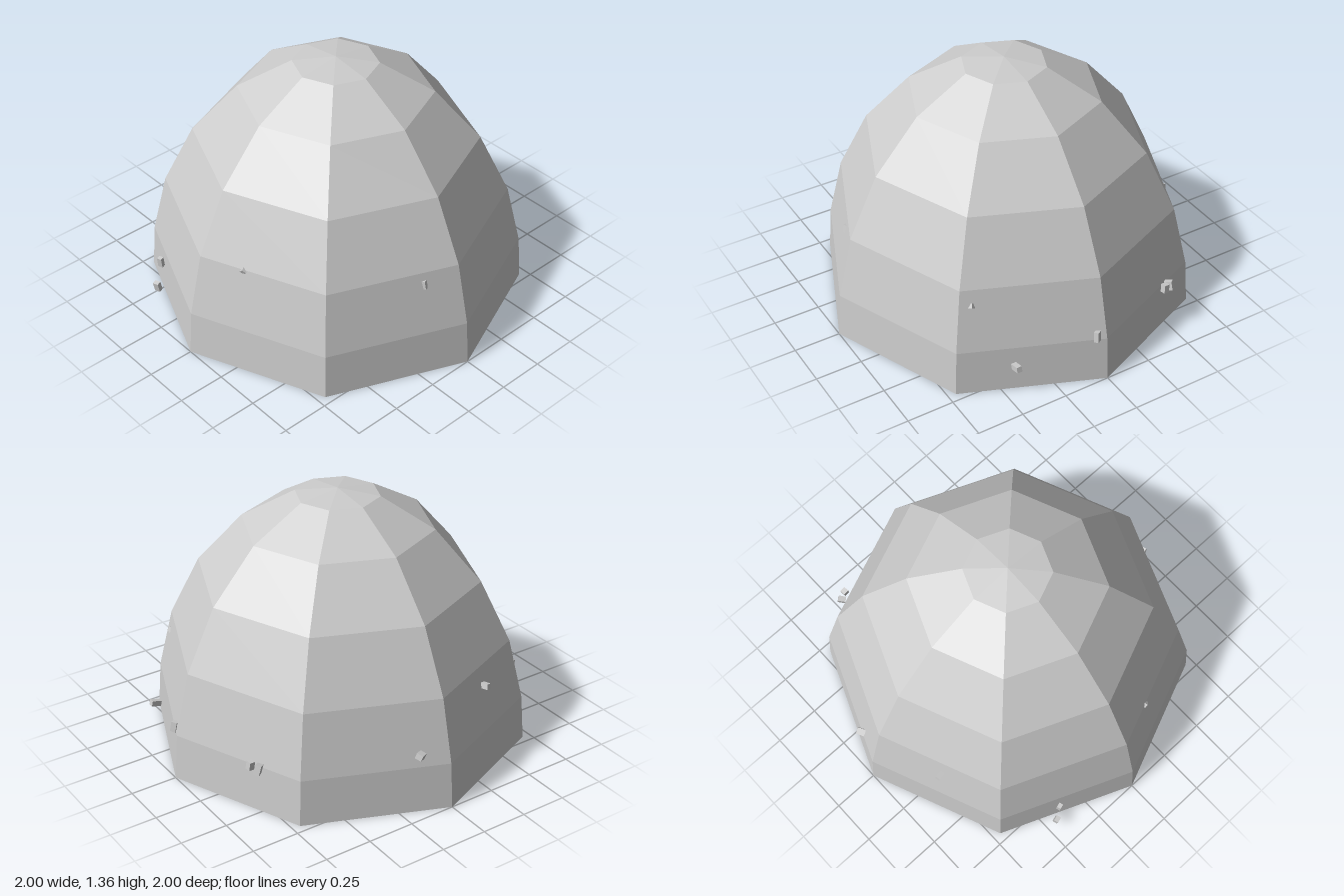
import * as THREE from 'three';

export function createModel() {
  const model = new THREE.Group();
  const grey = new THREE.MeshStandardMaterial({ color: 0xcccccc, flatShading: true });
  grey.name = 'stone grey';

  // eight-sided faceted dome with a closed base
  const profile = [
    [0, 0], [1, 0], [0.98, 0.245], [0.9, 0.575], [0.74, 0.9],
    [0.5, 1.17], [0.22, 1.33], [0, 1.36],
  ].map(([r, y]) => new THREE.Vector2(r, y));
  const dome = new THREE.Mesh(new THREE.LatheGeometry(profile, 8), grey);
  dome.name = 'dome';
  model.add(dome);

  // small chips scattered on the dome: position, size, rotation
  const chips = [
    [[-0.445, 0.085, 0.87], [0.032, 0.055, 0.025], [0.2, 0.3, 0]],
    [[-0.418, 0.26, 0.855], [0.027, 0.055, 0.022], [0.1, 0.3, 0]],
    [[-0.8, 0.48, 0.35], [0.042, 0.03, 0.025], [0.2, 0.2, -0.15]],
    [[0.22, 0.57, 0.8], [0.025, 0.025, 0.035], [0.4, 0.4, 0.7]],
    [[0.84, 0.51, 0.172], [0.022, 0.045, 0.025], [0, 0.3, 0.2]],
    [[0.45, 0.172, -0.86], [0.028, 0.03, 0.055], [0.25, 0, 0]],
    [[0.05, 0.27, -0.965], [0.03, 0.055, 0.025], [0.1, 0.6, 0.1]],
    [[0.59, 0.49, -0.67], [0.025, 0.025, 0.025], [0.4, 0.4, 0.4]],
    [[-0.925, 0.315, -0.148], [0.035, 0.03, 0.045], [0.2, 0.5, 0.2]],
    [[-0.5, 0.254, -0.81], [0.03, 0.05, 0.04], [0.3, 0.7, 0]],
    [[-0.46, 0.265, -0.83], [0.03, 0.045, 0.03], [0.1, 0.1, 0.1]],
  ];
  const box = new THREE.BoxGeometry(1, 1, 1);
  chips.forEach(([position, size, rotation], i) => {
    const chip = new THREE.Mesh(box, grey);
    chip.name = `chip${i + 1}`;
    chip.position.set(...position);
    chip.scale.set(...size);
    chip.rotation.set(...rotation);
    model.add(chip);
  });
  return model;
}
